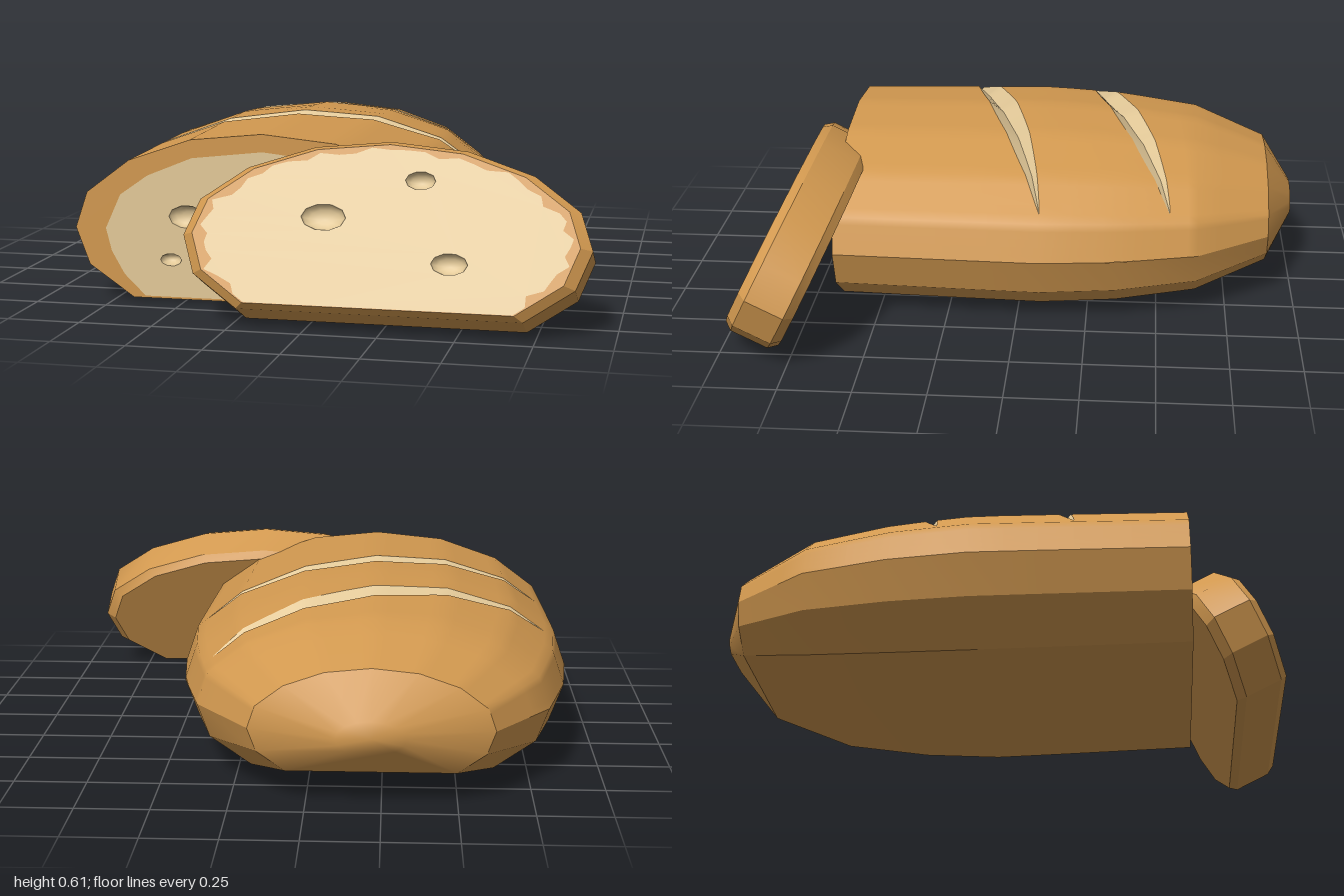
import * as THREE from 'three';
import { mergeGeometries, mergeVertices } from 'three/addons/utils/BufferGeometryUtils.js';

const crust = new THREE.MeshStandardMaterial({ color: 0xd1984f, side: THREE.DoubleSide });
crust.name = 'crust';
const crumb = new THREE.MeshStandardMaterial({ color: 0xe3c998, side: THREE.DoubleSide });
crumb.name = 'crumb';

// Half of a cross-section mirrored into a counter-clockwise loop
function mirrorLoop(upper, top, lower) {
  const flip = (list) => list.map(([x, y]) => [-x, y]);
  return [...upper, top, ...flip([...upper].reverse()), ...flip(lower), ...[...lower].reverse()];
}
const SECTION = mirrorLoop([[0.7, 0], [0.655, 0.13], [0.495, 0.25], [0.265, 0.33]], [0, 0.357],
  [[0.65, -0.135], [0.485, -0.25]]);
const CRUMB = mirrorLoop([[0.565, 0], [0.51, 0.12], [0.41, 0.19], [0.25, 0.255]], [0, 0.283],
  [[0.545, -0.08], [0.5, -0.16], [0.425, -0.234]]);

function subdivide(points, n) {
  const out = [];
  for (let i = 0; i < points.length - 1; i++) {
    for (let k = 0; k < n; k++) {
      const t = k / n;
      out.push([0, 1].map((a) => points[i][a] * (1 - t) + points[i + 1][a] * t));
    }
  }
  out.push(points[points.length - 1]);
  return out;
}

// Surface through rows of points, without normals
function grid(rows) {
  const n = rows[0].length, index = [];
  for (let i = 0; i < rows.length - 1; i++) {
    for (let j = 0; j < n - 1; j++) {
      const a = i * n + j, c = a + n;
      index.push(a, c, a + 1, a + 1, c, c + 1);
    }
  }
  const g = new THREE.BufferGeometry();
  g.setAttribute('position', new THREE.Float32BufferAttribute(rows.flat(2), 3));
  g.setIndex(index);
  return g;
}

function smooth(parts) {
  const g = mergeVertices(mergeGeometries(parts), 1e-4);
  g.computeVertexNormals();
  return g;
}

function add(parent, name, geometry, material) {
  const mesh = new THREE.Mesh(geometry, material);
  mesh.name = name;
  parent.add(mesh);
  return mesh;
}

// Loft of section points along [z, scale] rings
const loft = (points, rings) =>
  smooth([grid(rings.map(([z, s]) => points.map(([x, y]) => [x * s, y * s, z])))]);

const scaled = (points, s) => points.map(([x, y]) => new THREE.Vector2(x * s, y * s));

const DOME = SECTION.slice(0, 9);
const LOWER = [[8, 9], [9, 10], [10, 11], [11, 12], [12, 0]]
  .filter(([a]) => a < SECTION.length).map(([a, b]) => [SECTION[a], SECTION[b % SECTION.length]]);

// Flat crumb with bowl-shaped air pockets [x, y, rx, ry]
function addCrumb(parent, outline, z, pockets) {
  const shape = new THREE.Shape(outline);
  pockets.forEach(([x, y, rx, ry]) => {
    const ring = [];
    for (let i = 0; i < 10; i++) {
      const a = (i / 10) * Math.PI * 2;
      ring.push(new THREE.Vector2(x + rx * Math.cos(a), y + ry * Math.sin(a)));
    }
    shape.holes.push(new THREE.Path(ring));
    const bowl = new THREE.SphereGeometry(1, 10, 4, 0, Math.PI * 2, Math.PI / 2, Math.PI / 2);
    bowl.rotateX(Math.PI / 2).scale(rx, ry, 0.035).translate(x, y, z);
    // inner side of the bowl is the visible one
    add(parent, 'airPocket', bowl, crumb);
  });
  add(parent, 'crumbFace', new THREE.ShapeGeometry(shape), crumb).position.z = z;
}

// Loaf rings from cut face to tip: [z, scale]
const RINGS = [[0.65, 0.964], [0.15, 0.99], [-0.08, 1], [-0.35, 0.96], [-0.64, 0.855], [-0.9, 0.58]];
function ringScale(z) {
  for (let i = 0; i < RINGS.length - 1; i++) {
    const [z0, s0] = RINGS[i], [z1, s1] = RINGS[i + 1];
    if (z >= z1) return s0 + ((s1 - s0) * (z0 - z)) / (z0 - z1);
  }
  return 0.58;
}

function makeLoaf() {
  const loaf = new THREE.Group();
  loaf.name = 'loaf';
  const columns = subdivide(DOME, 5);
  const point = ([x, y], z, sink = 1) => [x * ringScale(z) * sink, y * ringScale(z) * sink, z];

  // Slanted scores across the top, pointed at both ends
  const REACH = 0.62;
  const scoreZ = (x, shift) => 0.095 + shift - 0.283 * THREE.MathUtils.clamp(x, -REACH, REACH);
  const width = (x) => (Math.abs(x) >= REACH ? 0 : 0.052 * Math.cos((x / REACH) * Math.PI / 2) ** 0.8);
  const edge = (shift, side) => ([x]) => scoreZ(x, shift) + side * width(x);
  const SHIFTS = [0, -0.46];

  // Dome pieces between the scores
  const span = (from, to, steps) => {
    const rows = [];
    for (let i = 0; i <= steps; i++) {
      rows.push(columns.map((p) => point(p, from(p) + ((to(p) - from(p)) * i) / steps)));
    }
    return grid(rows);
  };
  const at = (z) => () => z;
  add(loaf, 'topCrust', smooth([
    span(at(0.65), edge(0, 1), 4),
    span(edge(0, -1), edge(-0.46, 1), 4),
    span(edge(-0.46, -1), at(-0.64), 3),
    span(at(-0.64), at(-0.9), 3),
  ]), crust);

  // V-shaped score walls
  SHIFTS.forEach((shift) => {
    const across = columns.filter(([x]) => Math.abs(x) < 0.66);
    const rim = (side) => across.map((p) => point(p, edge(shift, side)(p)));
    const floor = across.map((p) => point(p, scoreZ(p[0], shift), 1 - 2.2 * width(p[0])));
    add(loaf, 'scoreFrontWall', smooth([grid([rim(1), floor])]), crumb);
    add(loaf, 'scoreBackWall', smooth([grid([floor, rim(-1)])]), crumb);
  });

  LOWER.forEach((strip) => add(loaf, 'lowerCrust', loft(strip, RINGS), crust));
  add(loaf, 'roundedEnd', loft([...SECTION, SECTION[0]], [[-0.9, 0.58], [-1, 0.164], [-1, 0]]), crust);

  // Cut face: crust border around the crumb
  const border = new THREE.Shape(scaled(SECTION, 0.964));
  border.holes.push(new THREE.Path(scaled(CRUMB, 1)));
  add(loaf, 'crustBorder', new THREE.ShapeGeometry(border), crust).position.z = 0.65;
  addCrumb(loaf, scaled(CRUMB, 1), 0.65, [[-0.27, 0.05, 0.065, 0.04], [-0.33, -0.103, 0.038, 0.022]]);
  loaf.position.set(-0.215, 0.25, 0);
  return loaf;
}

function makeSlice() {
  const slice = new THREE.Group();
  slice.name = 'slice';
  const OUTER = 0.964, FACE = 0.91, THICK = 0.2, BEVEL = 0.03;
  const bands = [[[THICK, FACE], [THICK - BEVEL, OUTER]], [[THICK - BEVEL, OUTER], [BEVEL, OUTER]],
    [[BEVEL, OUTER], [0, FACE]]];
  bands.forEach((rings) => {
    [DOME, ...LOWER].forEach((strip) => add(slice, 'sliceCrust', loft(strip, rings), crust));
  });
  const back = new THREE.ShapeGeometry(new THREE.Shape(scaled(SECTION, FACE).map((p) => p.setX(-p.x))
    .reverse()));
  add(slice, 'sliceBack', back.rotateY(Math.PI), crust);

  // Uneven crumb edge inside a thin crust border
  const loop = subdivide([...SECTION, SECTION[0]], 4).slice(0, -1);
  const outline = loop.map(([x, y], i) => {
    const s = FACE * (y < -0.2 ? 0.99 : 0.95 + 0.025 * Math.sin(i * 2.3) + 0.015 * Math.sin(i * 0.9));
    return new THREE.Vector2(x * s, y * s);
  });
  const border = new THREE.Shape(scaled(SECTION, FACE));
  border.holes.push(new THREE.Path(outline));
  add(slice, 'sliceBorder', new THREE.ShapeGeometry(border), crust).position.z = THICK;
  addCrumb(slice, outline, THICK,
    [[-0.2, 0.07, 0.075, 0.045], [0.11, 0.205, 0.05, 0.031], [0.225, -0.07, 0.06, 0.036]]);

  // Lean the slice back towards the loaf
  slice.position.y = 0.241;
  const lean = new THREE.Group();
  lean.name = 'leaningSlice';
  lean.add(slice);
  lean.rotation.x = -0.464;
  lean.position.set(0.245, -0.01, 0.815);
  return lean;
}

export function createModel() {
  const model = new THREE.Group();
  model.name = 'slicedBread';
  model.add(makeLoaf(), makeSlice());
  return model;
}
